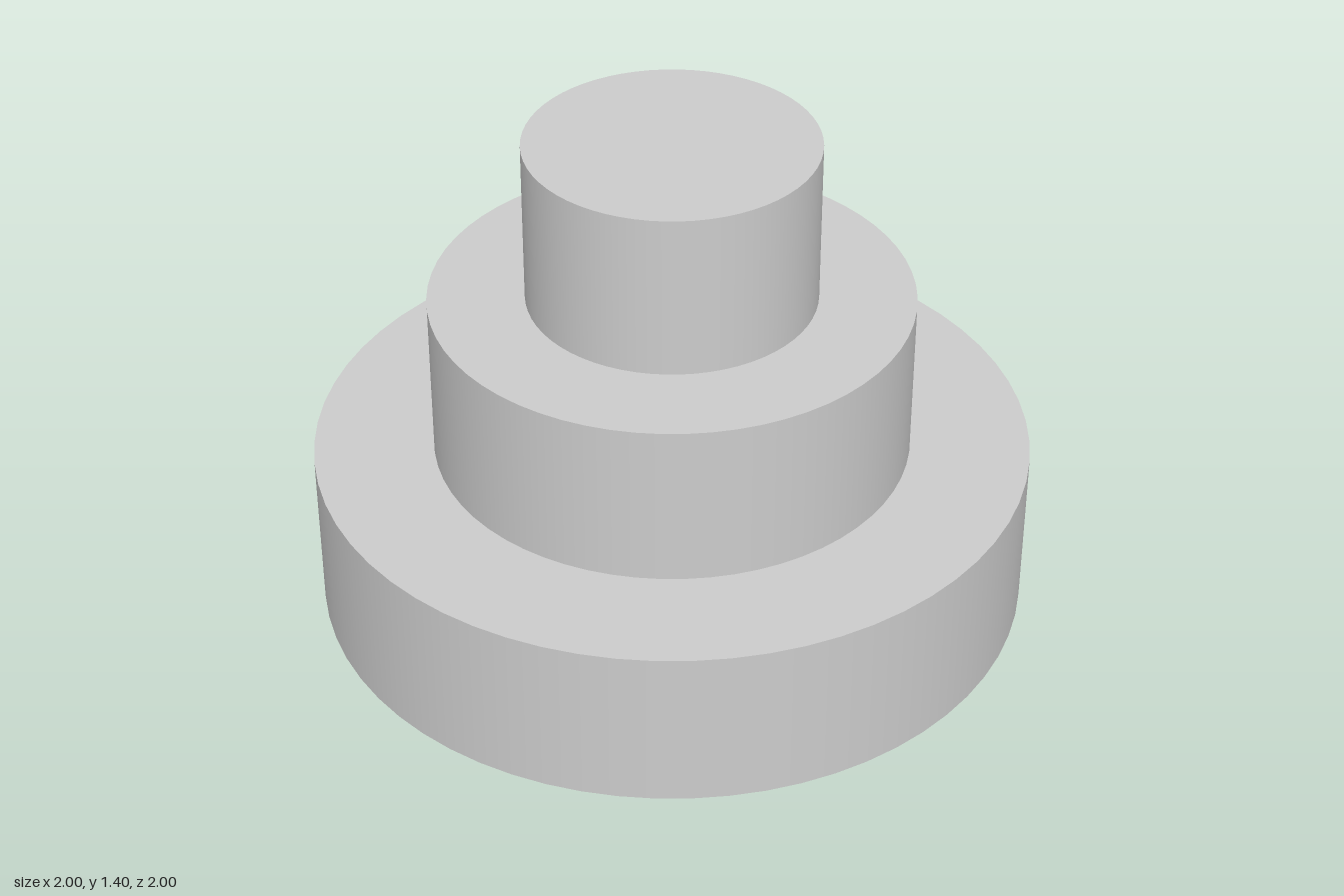
import * as THREE from 'three';

export function createModel() {
  const model = new THREE.Group();
  model.name = 'tieredStand';
  const material = new THREE.MeshStandardMaterial({ color: 0xcccccc });

  // Three round tiers of equal height, stacked from widest to narrowest
  const tierHeight = 1.4 / 3;
  const tiers = [
    ['bottomTier', 1],
    ['middleTier', 2 / 3],
    ['topTier', 0.4],
  ];
  tiers.forEach(([name, radius], i) => {
    const tier = new THREE.Mesh(new THREE.CylinderGeometry(radius, radius, tierHeight, 64), material);
    tier.name = name;
    tier.position.y = tierHeight * (i + 0.5);
    model.add(tier);
  });

  return model;
}
